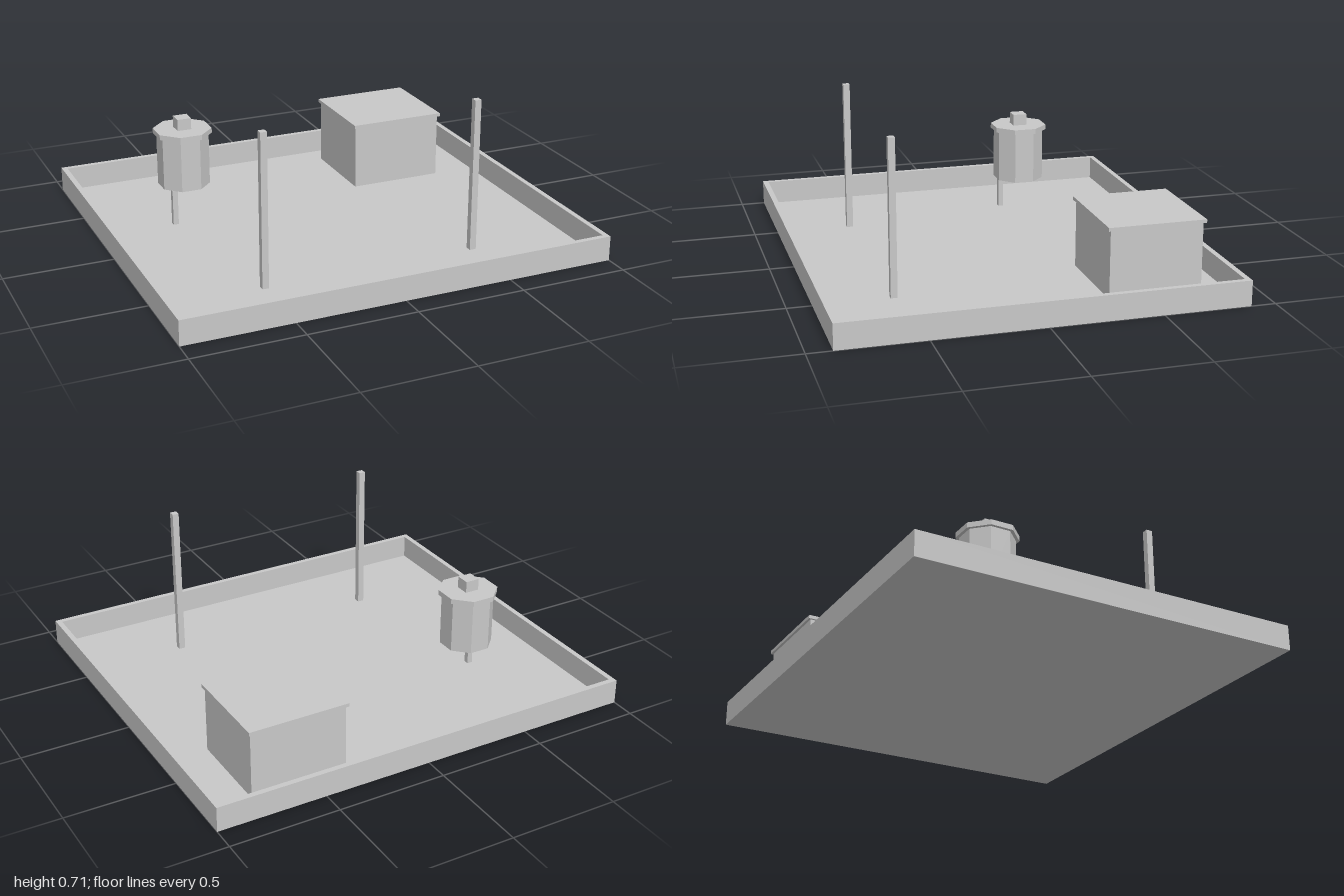
import * as THREE from 'three';

export function createModel() {
  const model = new THREE.Group();
  const grey = new THREE.MeshStandardMaterial({ color: 0xc8c8c8, flatShading: true });
  grey.name = 'plain grey';

  const add = (name, geometry, x, y, z) => {
    const mesh = new THREE.Mesh(geometry, grey);
    mesh.name = name;
    mesh.position.set(x, y, z);
    model.add(mesh);
  };
  // Box standing between two heights
  const box = (name, w, d, x, z, y0, y1) =>
    add(name, new THREE.BoxGeometry(w, y1 - y0, d), x, (y0 + y1) / 2, z);
  // Eight-sided drum with its flats square to the axes
  const drum = (name, apothem, x, z, y0, y1) => {
    const r = apothem / Math.cos(Math.PI / 8);
    add(name, new THREE.CylinderGeometry(r, r, y1 - y0, 8, 1, false, Math.PI / 8), x, (y0 + y1) / 2, z);
  };

  // Thin roof deck
  box('roofDeck', 1.96, 1.74, 0, 0, 0, 0.004);

  // Low parapet: a rectangular frame extruded upwards
  const W = 1, D = 0.89, T = 0.025;
  const rect = (Type, w, d) => new Type([[-w, -d], [w, -d], [w, d], [-w, d]].map(p => new THREE.Vector2(...p)));
  const frame = rect(THREE.Shape, W, D);
  frame.holes.push(rect(THREE.Path, W - T, D - T));
  const parapet = new THREE.ExtrudeGeometry(frame, { depth: 0.115, bevelEnabled: false });
  parapet.rotateX(-Math.PI / 2);
  add('parapet', parapet, 0, 0, 0);

  // Two front posts
  for (const side of [-1, 1]) {
    box(side > 0 ? 'leftPost' : 'rightPost', 0.03, 0.03, side * 0.5, 0.54, 0, 0.712);
  }

  // Rooftop hut with an overhanging lid
  box('hutBody', 0.446, 0.42, 0.555, -0.545, 0, 0.312);
  box('hutLid', 0.466, 0.443, 0.555, -0.545, 0.312, 0.328);

  // Octagonal tank held up by a single leg
  const tx = -0.556, tz = -0.331;
  drum('tankBody', 0.112, tx, tz, 0.172, 0.42);
  drum('tankLid', 0.126, tx, tz, 0.42, 0.444);
  box('tankCap', 0.066, 0.066, tx, tz, 0.444, 0.498);
  box('tankLeg', 0.025, 0.025, -0.628, -0.26, 0, 0.172);

  return model;
}
